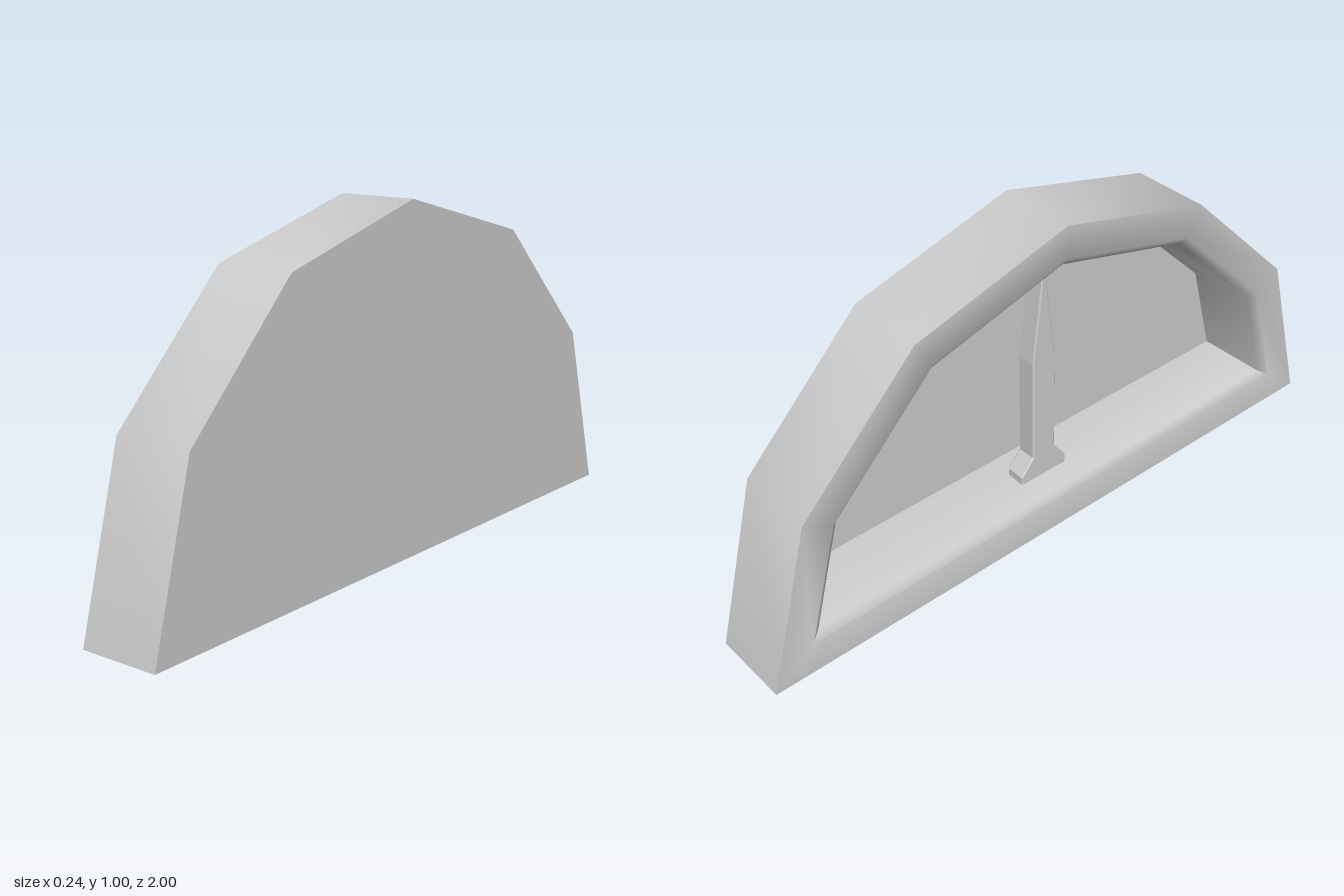
import * as THREE from 'three';
import { toCreasedNormals } from 'three/addons/utils/BufferGeometryUtils.js';

// Half-dodecagon outline of radius r, cut off at height base, in the plane at x
function archRing(r, base, x) {
  const ring = [];
  for (let i = 0; i <= 6; i++) {
    const a = (i * Math.PI) / 6;
    ring.push([x, r * Math.sin(a), r * Math.cos(a)]);
  }
  // slide the two feet up along the lowest sides
  const t = base / ring[1][1];
  const z = r + (ring[1][2] - r) * t;
  ring[0] = [x, base, z];
  ring[6] = [x, base, -z];
  return ring;
}

// Join successive rings with quads and close the first and last
function loft(rings) {
  const pos = [];
  const tri = (...pts) => pts.forEach((p) => pos.push(...p));
  const n = rings[0].length;
  for (let k = 0; k < rings.length - 1; k++) {
    const a = rings[k], b = rings[k + 1];
    for (let i = 0; i < n; i++) {
      const j = (i + 1) % n;
      tri(a[i], a[j], b[j]);
      tri(a[i], b[j], b[i]);
    }
  }
  const first = rings[0], last = rings[rings.length - 1];
  for (let i = 1; i < n - 1; i++) {
    tri(first[0], first[i + 1], first[i]);
    tri(last[0], last[i], last[i + 1]);
  }
  const geo = new THREE.BufferGeometry();
  geo.setAttribute('position', new THREE.Float32BufferAttribute(pos, 3));
  return toCreasedNormals(geo, 1.0);
}

export function createModel() {
  const group = new THREE.Group();
  const material = new THREE.MeshStandardMaterial({ color: 0xcccccc });

  // Arched case: closed on +x, recessed on -x with a softened lip
  const archCase = new THREE.Mesh(loft([
    archRing(1, 0, 0.12),
    archRing(1, 0, -0.12),
    archRing(0.9, 0.1, -0.12),
    archRing(0.875, 0.12, -0.1),
    archRing(0.86, 0.135, 0.1),
  ]), material);
  archCase.name = 'archCase';
  group.add(archCase);

  // Needle standing in the recess: flared foot, straight shaft, pointed top
  const half = [[0.08, 0.11], [0.08, 0.15], [0.037, 0.2], [0.037, 0.53], [0.003, 0.8]];
  const outline = [...half, ...half.map(([z, y]) => [-z, y]).reverse()];
  const shape = new THREE.Shape(outline.map(([z, y]) => new THREE.Vector2(z, y)));
  const needleGeo = new THREE.ExtrudeGeometry(shape, {
    depth: 0.054, bevelEnabled: true, bevelThickness: 0.004, bevelSize: 0.004, bevelSegments: 1,
  });
  needleGeo.translate(0, 0, -0.027);
  needleGeo.rotateY(-Math.PI / 2);
  const needle = new THREE.Mesh(needleGeo, material);
  needle.name = 'needle';
  group.add(needle);

  return group;
}
